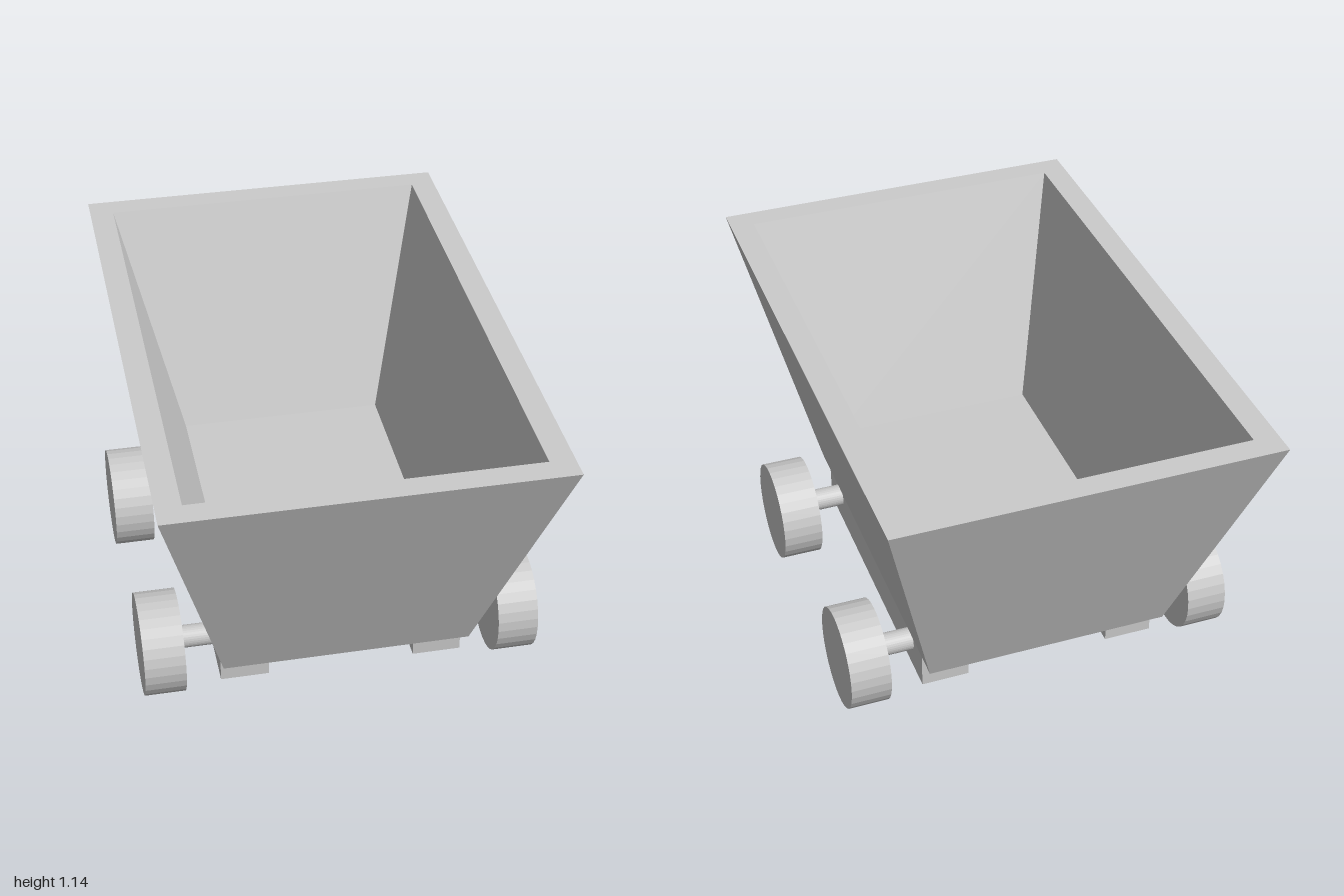
import * as THREE from 'three';

const material = new THREE.MeshStandardMaterial({ color: 0xcccccc, flatShading: true });

// Open tub skinned through rectangular sections: up the outside, over the rim, down the inside
function tubGeometry() {
  const sections = [ // half width, height, half length
    [0.43, 0.22, 0.655],
    [0.66, 1.14, 1.0],
    [0.575, 1.14, 0.915],
    [0.375, 0.355, 0.597],
  ];
  const corners = [[1, 1], [1, -1], [-1, -1], [-1, 1]];
  const rings = sections.map(([w, y, l]) => corners.map(([sx, sz]) => [sx * w, y, sz * l]));
  const positions = [];
  const quad = (a, b, c, d) => positions.push(...a, ...b, ...c, ...a, ...c, ...d);
  for (let r = 0; r < rings.length - 1; r++) {
    for (let i = 0; i < 4; i++) {
      const j = (i + 1) % 4;
      quad(rings[r][i], rings[r][j], rings[r + 1][j], rings[r + 1][i]);
    }
  }
  quad(...[...rings[0]].reverse()); // underside
  quad(...rings[3]); // inner floor
  const geometry = new THREE.BufferGeometry();
  geometry.setAttribute('position', new THREE.Float32BufferAttribute(positions, 3));
  geometry.computeVertexNormals();
  return geometry;
}

export function createModel() {
  const model = new THREE.Group();
  model.name = 'mineCart';

  const add = (name, geometry, x = 0, y = 0, z = 0) => {
    const mesh = new THREE.Mesh(geometry, material);
    mesh.name = name;
    mesh.position.set(x, y, z);
    model.add(mesh);
  };

  add('tub', tubGeometry());

  const beam = new THREE.BoxGeometry(0.17, 0.135, 1.12);
  const axle = new THREE.CylinderGeometry(0.04, 0.04, 1.2, 32).rotateZ(Math.PI / 2);
  const wheel = new THREE.CylinderGeometry(0.181, 0.181, 0.143, 32).rotateZ(Math.PI / 2);

  // Chassis beams under the tub
  for (const [side, sx] of [['left', 1], ['right', -1]]) {
    add(side + 'Beam', beam, sx * 0.343, 0.1525, 0);
  }

  // Two axles, each with a pair of wheels
  for (const [end, sz] of [['front', 1], ['back', -1]]) {
    add(end + 'Axle', axle, 0, 0.19, sz * 0.43);
    for (const [side, sx] of [['Left', 1], ['Right', -1]]) {
      add(end + side + 'Wheel', wheel, sx * 0.624, 0.181, sz * 0.43);
    }
  }
  return model;
}
